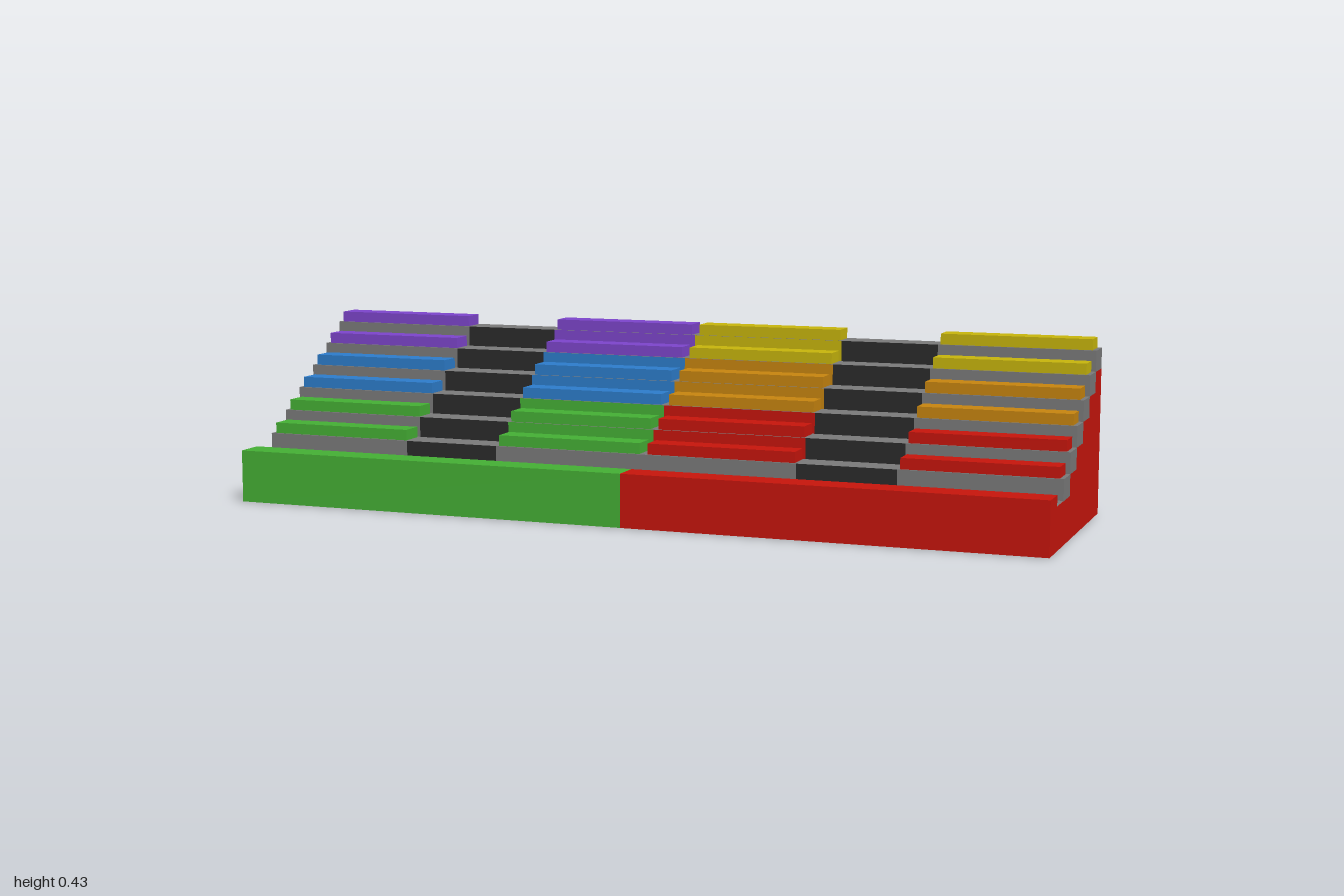
import * as THREE from 'three';

const COLORS = {
  red: 0xc8150c, green: 0x45b035, purple: 0x7d45cc, blue: 0x2d7dcc,
  yellow: 0xc8b60c, orange: 0xc8850f, grey: 0x7b7b7b, black: 0x2b2b2b,
};
const mats = {};
for (const k in COLORS) mats[k] = new THREE.MeshStandardMaterial({ color: COLORS[k] });

const HALF = 0.289;          // half depth
const STEP = HALF / 4;       // tread depth, eight bays from front to back
const FLOOR = 0.102;         // walkway height
const RISE = 0.0497;         // height of each tier
const LIP = 0.128;           // front wall height
const ROWS = 6;
const EPS = 0.001;
const TOP = FLOOR + RISE * ROWS;
const zFront = (bay) => HALF - bay * STEP;

export function createModel() {
  const model = new THREE.Group();

  const add = (name, geometry, color, x, y, z, parent = model) => {
    const mesh = new THREE.Mesh(geometry, mats[color]);
    mesh.name = name;
    mesh.position.set(x, y, z);
    parent.add(mesh);
    return mesh;
  };
  const box = (name, color, x0, x1, y0, y1, z0, z1, parent) =>
    add(name, new THREE.BoxGeometry(x1 - x0, y1 - y0, z1 - z0), color,
      (x0 + x1) / 2, (y0 + y1) / 2, (z0 + z1) / 2, parent);
  // Vertical painted panel facing the front
  const facing = (name, color, x0, x1, y0, y1, z, parent) =>
    add(name, new THREE.PlaneGeometry(x1 - x0, y1 - y0), color,
      (x0 + x1) / 2, (y0 + y1) / 2, z, parent);
  // Horizontal panel facing up (dir 1) or down (dir -1)
  const flat = (name, color, x0, x1, z0, z1, y, dir) => {
    const m = add(name, new THREE.PlaneGeometry(x1 - x0, z1 - z0), color,
      (x0 + x1) / 2, y, (z0 + z1) / 2);
    m.rotation.x = -dir * Math.PI / 2;
  };

  // Stepped base: front wall, walkway, then one step per tier
  const profile = new THREE.Shape();
  profile.moveTo(HALF, EPS);
  profile.lineTo(HALF, LIP);
  profile.lineTo(zFront(1), LIP);
  profile.lineTo(zFront(1), FLOOR);
  for (let i = 1; i < ROWS; i++) {
    profile.lineTo(zFront(i + 2), FLOOR + RISE * (i - 1));
    profile.lineTo(zFront(i + 2), FLOOR + RISE * i);
  }
  profile.lineTo(-HALF + EPS, TOP - RISE);
  profile.lineTo(-HALF + EPS, EPS);
  profile.closePath();
  const half = new THREE.ExtrudeGeometry(profile, { depth: 1, bevelEnabled: false });
  half.rotateY(-Math.PI / 2);
  add('rightBase', half, 'green', 0, 0, 0);
  add('leftBase', half, 'red', 1, 0, 0);

  // Back wall, underside and walkway surface
  const back = facing('backWall', 'red', -1, 1, 0, TOP, -HALF);
  back.rotation.y = Math.PI;
  flat('underside', 'red', -1, 1, -HALF, HALF, EPS * 0.8, -1);
  flat('undersidePatch', 'green', -1, -0.63, zFront(3), HALF, 0, -1);
  flat('walkway', 'grey', -1, 1, zFront(2), zFront(1), FLOOR + EPS, 1);

  // Tiers with aisle risers, seat backs and benches
  const rightColors = ['green', 'green', 'blue', 'blue', 'purple', 'purple'];
  const leftColors = ['red', 'red', 'orange', 'orange', 'yellow', 'yellow'];
  for (let i = 0; i < ROWS; i++) {
    const row = new THREE.Group();
    row.name = 'tier' + (i + 1);
    model.add(row);
    const z = zFront(i + 2);
    const y = FLOOR + RISE * i;
    const top = y + RISE;
    box('tread', 'grey', -1, 1, y, top, i === ROWS - 1 ? z - STEP + EPS : z - STEP, z, row);

    for (const s of [-1, 1]) {
      const color = (s < 0 ? rightColors : leftColors);
      facing('aisleRiser', 'black', s * 0.5 - 0.12, s * 0.5 + 0.12, y, top, z + EPS, row);
      // Painted riser behind the centre bench of the tier in front
      if (i > 0) {
        facing('seatBack', color[i - 1], s < 0 ? -0.38 : 0, s < 0 ? 0 : 0.38, y, top, z + EPS, row);
      }
      for (const cx of [0.1925, 0.8075]) {
        box('bench', color[i], s * cx - 0.1825, s * cx + 0.1825,
          top, top + 0.026, z - 0.065, z - 0.006, row);
      }
    }
  }
  return model;
}
